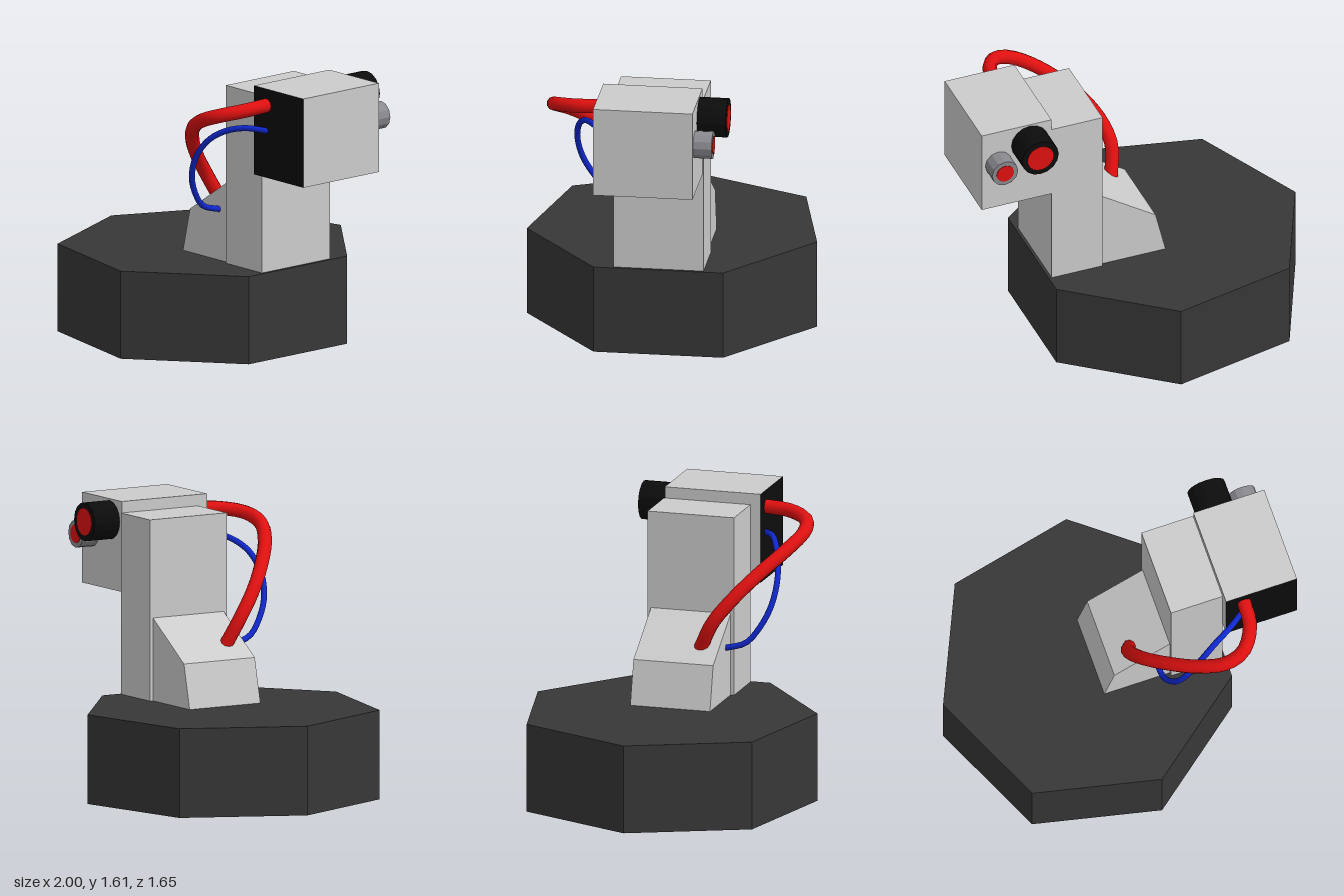
import * as THREE from 'three';

const material = (name, color, flatShading = false) =>
  Object.assign(new THREE.MeshStandardMaterial({ color }), { name, flatShading });

export function createModel() {
  const model = new THREE.Group();
  const charcoal = material('charcoal', 0x373737, true);
  const paleGrey = material('pale grey', 0xcccccc, true);
  const black = material('black', 0x0c0c0c, true);
  const midGrey = material('mid grey', 0x8a8a8f, true);
  const red = material('red', 0xe01010);
  const blue = material('blue', 0x1028d0);

  const add = (name, geometry, mat) => {
    const mesh = new THREE.Mesh(geometry, mat);
    mesh.name = name;
    model.add(mesh);
    return mesh;
  };
  const vectors = (points) => points.map(([x, y]) => new THREE.Vector2(x, y));
  const prism = (points, depth) => new THREE.ExtrudeGeometry(
    new THREE.Shape(vectors(points)), { depth, bevelEnabled: false });
  // Box given by its lower and upper corners
  const block = (a, b) => new THREE.BoxGeometry(b[0] - a[0], b[1] - a[1], b[2] - a[2])
    .translate((a[0] + b[0]) / 2, (a[1] + b[1]) / 2, (a[2] + b[2]) / 2);

  // Seven-sided pedestal
  const half = [[0.595, 0.368], [0.02, 0.825], [-0.7, 0.665]];
  const mirrored = half.map(([x, z]) => [x, -z]).reverse();
  add('pedestal', prism([...half, [-1, 0], ...mirrored], 0.508).rotateX(-Math.PI / 2), charcoal);

  // Sloping foot, upright column and overhanging head with a black front panel
  add('slopingFoot', prism([[-0.12, 0.508], [0.27, 0.508], [0.27, 0.98], [-0.06, 0.76]], 0.47)
    .translate(0, 0, -0.235), paleGrey);
  add('column', block([0.27, 0.508, -0.255], [0.578, 1.54, 0.255]), paleGrey);
  add('head', block([0.578, 1.09, -0.25], [1, 1.605, 0.315]),
    [paleGrey, paleGrey, paleGrey, paleGrey, black, paleGrey]);

  // Two eyepieces on the back of the head, each with a red lens
  const eyepiece = (name, x, y, radius, length, sides, lensRadius, mat) => {
    const barrel = new THREE.CylinderGeometry(radius, radius, length, sides).rotateX(Math.PI / 2);
    add(name, barrel.translate(x, y, -0.25 - length / 2), mat);
    const lens = new THREE.CylinderGeometry(lensRadius, lensRadius, 0.006, 20).rotateX(Math.PI / 2);
    add(name + 'Lens', lens.translate(x, y, -0.25 - length), red);
  };
  eyepiece('largeEyepiece', 0.71, 1.485, 0.111, 0.165, 16, 0.078, black);
  eyepiece('smallEyepiece', 0.9, 1.388, 0.079, 0.105, 12, 0.052, midGrey);

  // Cables looping from the foot to the front panel
  const cable = (name, points, radius, mat) => {
    const path = new THREE.CatmullRomCurve3(points.map((p) => new THREE.Vector3(...p)));
    add(name, new THREE.TubeGeometry(path, 28, radius, 10), mat);
  };
  cable('thickCable', [
    [0.07, 0.82, 0.12], [0.035, 0.98, 0.2], [0.07, 1.11, 0.3], [0.17, 1.24, 0.42],
    [0.33, 1.36, 0.545], [0.48, 1.435, 0.605], [0.59, 1.475, 0.58], [0.67, 1.5, 0.46],
    [0.685, 1.51, 0.3],
  ], 0.04, red);
  cable('thinCable', [
    [0.185, 0.8, 0.22], [0.185, 0.84, 0.35], [0.2, 0.92, 0.42], [0.235, 1.04, 0.48],
    [0.295, 1.17, 0.5], [0.38, 1.28, 0.48], [0.47, 1.34, 0.44], [0.58, 1.37, 0.385],
    [0.69, 1.36, 0.305],
  ], 0.017, blue);

  return model;
}
